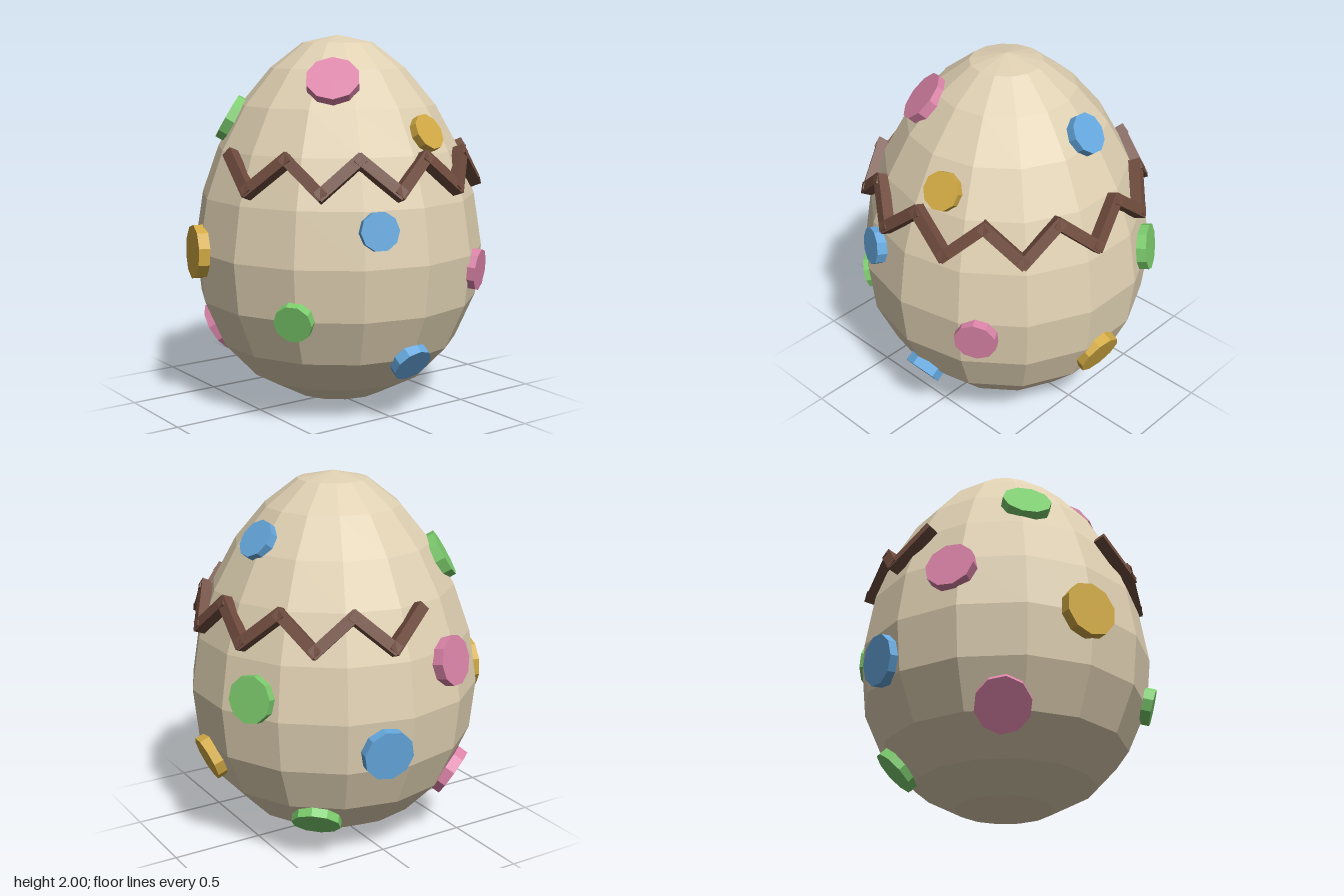
import * as THREE from 'three';

const material = (name, color) => {
  const m = new THREE.MeshStandardMaterial({ color });
  m.name = name;
  return m;
};

// Shell profile: [radius, height] from base to tip
const PROFILE = [
  [0, 0], [0.26, 0.045], [0.48, 0.162], [0.655, 0.348], [0.762, 0.59], [0.79, 0.861],
  [0.745, 1.147], [0.655, 1.4], [0.528, 1.63], [0.365, 1.825], [0.19, 1.96], [0, 2],
];

// Faceted copy of a geometry
function faceted(geometry) {
  const g = geometry.index ? geometry.toNonIndexed() : geometry;
  g.computeVertexNormals();
  return g;
}

function radiusAt(y) {
  const i = Math.max(1, PROFILE.findIndex((p) => p[1] >= y));
  const [r0, y0] = PROFILE[i - 1], [r1, y1] = PROFILE[i];
  return r0 + ((r1 - r0) * (y - y0)) / (y1 - y0);
}

// Point and outward normal on the shell; the angle runs from the front toward +x
function onShell(degrees, y, lift = 0) {
  const a = THREE.MathUtils.degToRad(degrees);
  const slope = (radiusAt(y + 0.1) - radiusAt(y - 0.1)) / 0.2;
  const normal = new THREE.Vector3(Math.sin(a), -slope, Math.cos(a)).normalize();
  const r = radiusAt(y);
  const point = new THREE.Vector3(r * Math.sin(a), y, r * Math.cos(a)).addScaledVector(normal, lift);
  return { point, normal };
}

export function createModel() {
  const cream = material('cream', 0xdfd0b2);
  const brown = material('brown', 0x6f4b3d);
  const pink = material('pink', 0xdb84a8);
  const blue = material('blue', 0x65a8de);
  const green = material('green', 0x7dcd6e);
  const yellow = material('yellow', 0xd3ab45);

  const model = new THREE.Group();
  model.name = 'decoratedEgg';
  model.position.set(0.012, 0, 0.006);

  // Shell
  const shell = new THREE.Mesh(
    faceted(new THREE.LatheGeometry(PROFILE.map(([r, y]) => new THREE.Vector2(r, y)), 14)), cream);
  shell.name = 'shell';
  model.add(shell);

  // Spots: colour, angle, height, radius
  const spots = new THREE.Group();
  spots.name = 'spots';
  const up = new THREE.Vector3(0, 1, 0);
  [
    [pink, -39, 1.765, 0.14],
    [yellow, 12.8, 1.5, 0.1],
    [blue, -20.3, 1.05, 0.1],
    [pink, 32.4, 0.775, 0.112],
    [green, -52, 0.595, 0.1],
    [blue, 0, 0.335, 0.108],
    [yellow, 85, 0.51, 0.125],
    [blue, 97.8, 1.685, 0.108],
    [green, 117.5, 0.96, 0.125],
    [blue, 169.5, 0.69, 0.135],
    [green, 140, 0.245, 0.132],
    [green, 234.8, 1.55, 0.132],
    [pink, 202.5, 1.09, 0.132],
    [pink, 222.6, 0.37, 0.143],
    [yellow, 255, 0.865, 0.145],
  ].forEach(([mat, angle, y, r]) => {
    const { point, normal } = onShell(angle, y, 0.001);
    const spot = new THREE.Mesh(faceted(new THREE.CylinderGeometry(r, r, 0.06, 10)), mat);
    spot.name = 'spot';
    spot.position.copy(point);
    spot.quaternion.setFromUnitVectors(up, normal);
    spots.add(spot);
  });
  model.add(spots);

  // Zigzag band: bars between alternating high and low points, open at the back
  const band = new THREE.Group();
  band.name = 'zigzagBand';
  const bars = 18;
  const corner = (i) => onShell(-88 + (276 / bars) * i, i % 2 ? 1.22 : 1.38, 0.025);
  for (let i = 0; i < bars; i++) {
    const a = corner(i), b = corner(i + 1);
    const along = b.point.clone().sub(a.point);
    const length = along.length();
    along.normalize();
    const out = a.normal.clone().add(b.normal);
    out.addScaledVector(along, -out.dot(along)).normalize();
    const side = new THREE.Vector3().crossVectors(out, along);
    const bar = new THREE.Mesh(new THREE.BoxGeometry(length + 0.045, 0.06, 0.06), brown);
    bar.name = 'zigzagBar';
    bar.position.copy(a.point).add(b.point).multiplyScalar(0.5);
    bar.quaternion.setFromRotationMatrix(new THREE.Matrix4().makeBasis(along, side, out));
    band.add(bar);
  }
  model.add(band);

  const root = new THREE.Group();
  root.name = 'egg';
  root.add(model);
  return root;
}
